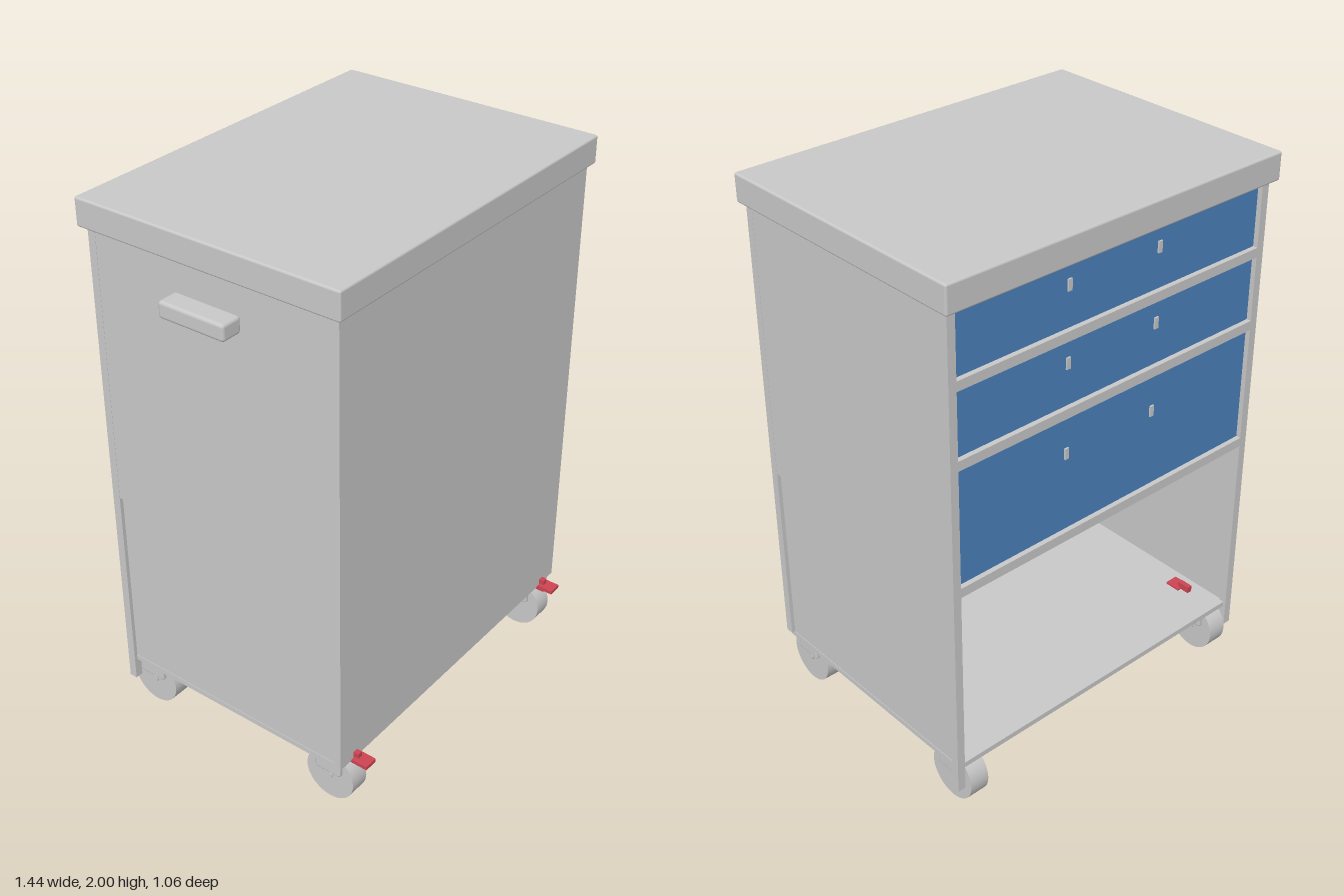
import * as THREE from 'three';
import { RoundedBoxGeometry } from 'three/addons/geometries/RoundedBoxGeometry.js';

const grey = new THREE.MeshStandardMaterial({ color: 0xc8c8c8 });
grey.name = 'light grey metal';
const blue = new THREE.MeshStandardMaterial({ color: 0x4a80bc });
blue.name = 'drawer blue';
const red = new THREE.MeshStandardMaterial({ color: 0xcc4452 });
red.name = 'brake red';

const CX = 0.025; // cabinet centre in x

export function createModel() {
  const model = new THREE.Group();
  model.name = 'drawerTrolley';

  // Box given by its min and max on each axis; r > 0 rounds the edges
  function block(name, mat, [x0, x1], [y0, y1], [z0, z1], r = 0, parent = model) {
    const size = [x1 - x0, y1 - y0, z1 - z0];
    const geo = r ? new RoundedBoxGeometry(...size, 2, r) : new THREE.BoxGeometry(...size);
    const mesh = new THREE.Mesh(geo, mat);
    mesh.position.set((x0 + x1) / 2, (y0 + y1) / 2, (z0 + z1) / 2);
    mesh.name = name;
    parent.add(mesh);
    return mesh;
  }

  // Worktop, front skin and floor
  block('worktop', grey, [-0.667, 0.717], [1.9, 2], [-0.53, 0.485], 0.008);
  block('frontPanel', grey, [-0.645, 0.695], [0.2, 1.9], [0.455, 0.465]);
  block('floor', grey, [-0.633, 0.683], [0.18, 0.2], [-0.495, 0.455]);

  // Mirrored sides: corner posts, upper panel and recessed lower panel
  for (const s of [-1, 1]) {
    const span = (inner, outer) => [CX + s * inner, CX + s * outer].sort((a, b) => a - b);
    block('rearPost', grey, span(0.64, 0.67), [0.1, 1.9], [-0.505, -0.475]);
    block('frontPost', grey, span(0.64, 0.67), [0.2, 1.9], [0.435, 0.455]);
    block('upperSidePanel', grey, span(0.635, 0.669), [0.9, 1.89], [-0.475, 0.435]);
    block('lowerSidePanel', grey, span(0.646, 0.656), [0.18, 0.9], [-0.475, 0.435]);
  }

  // Drawer housing, open below
  block('drawerHousing', grey, [-0.61, 0.66], [0.915, 1.9], [-0.47, 0.455]);

  // Drawers on the back: blue front, rail along the bottom, two locks each
  const drawers = [
    [0.935, 1.365, 1.225],
    [1.4, 1.635, 1.55],
    [1.67, 1.9, 1.815],
  ];
  for (const [bottom, top, lockY] of drawers) {
    block('drawerFront', blue, [-0.615, 0.665], [bottom, top], [-0.487, -0.47]);
    block('drawerRail', grey, [-0.615, 0.665], [bottom - 0.035, bottom], [-0.505, -0.465]);
    for (const dx of [-0.19, 0.19]) {
      block('drawerLock', grey, [CX + dx - 0.008, CX + dx + 0.008],
        [lockY - 0.02, lockY + 0.02], [-0.493, -0.485]);
    }
  }

  // Push handle on the right side
  block('handle', grey, [-0.722, -0.64], [1.73, 1.79], [-0.155, 0.102], 0.012);

  // Casters with fork, axle and brake pedal
  function caster(x, z) {
    const g = new THREE.Group();
    g.name = 'caster';
    const wheel = new THREE.Mesh(new THREE.CylinderGeometry(0.098, 0.098, 0.075, 48), grey);
    wheel.name = 'wheel';
    wheel.rotation.z = Math.PI / 2;
    wheel.position.y = 0.098;
    g.add(wheel);
    block('fork', grey, [-0.053, 0.053], [0.12, 0.175], [-0.053, 0.053], 0.008, g);
    const axle = new THREE.Mesh(new THREE.CylinderGeometry(0.014, 0.014, 0.09, 20), grey);
    axle.name = 'axle';
    axle.rotation.z = Math.PI / 2;
    axle.position.y = 0.1;
    g.add(axle);
    block('brakePedal', red, [-0.026, 0.026], [0.192, 0.206], [0.085, 0.145], 0, g);
    block('brakeLever', red, [-0.01, 0.01], [0.173, 0.225], [0.05, 0.1], 0, g);
    g.position.set(x, 0, z);
    model.add(g);
  }
  for (const s of [-1, 1]) {
    caster(CX + s * 0.588, 0.385);
    caster(CX + s * 0.588, -0.42);
  }

  return model;
}
